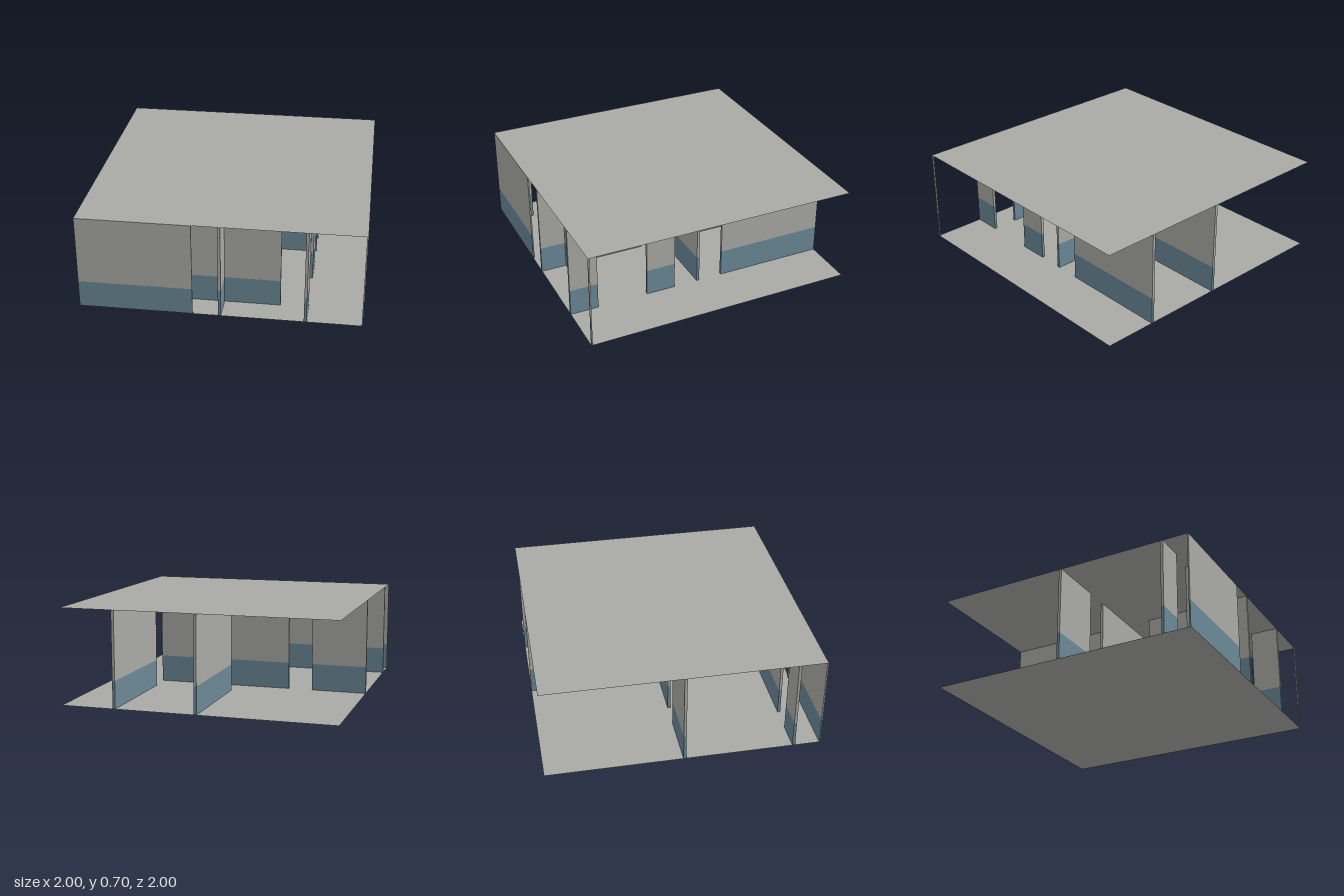
import * as THREE from 'three';

const paleGrey = new THREE.MeshStandardMaterial({ color: 0xa9aaa5, side: THREE.DoubleSide });
paleGrey.name = 'paleGrey';
const slateBlue = new THREE.MeshStandardMaterial({ color: 0x6a8896 });
slateBlue.name = 'slateBlue';

const HEIGHT = 0.7;
const DADO = 0.2; // top of the blue band
const GAP = 0.001; // keeps wall ends off the floor and ceiling sheets

// One wall seen in plan: blue band below, grey above
function wall(name, x0, x1, z0, z1) {
  const group = new THREE.Group();
  group.name = name;
  const band = (part, y0, y1, material) => {
    const mesh = new THREE.Mesh(new THREE.BoxGeometry(x1 - x0, y1 - y0, z1 - z0), material);
    mesh.position.set((x0 + x1) / 2, (y0 + y1) / 2, (z0 + z1) / 2);
    mesh.name = part;
    group.add(mesh);
  };
  band('lowerBand', GAP, DADO, slateBlue);
  band('upperBand', DADO, HEIGHT - GAP, paleGrey);
  return group;
}

// Thin horizontal sheet
function slab(name, y) {
  const mesh = new THREE.Mesh(new THREE.PlaneGeometry(2, 2), paleGrey);
  mesh.rotation.x = -Math.PI / 2;
  mesh.position.y = y;
  mesh.name = name;
  return mesh;
}

export function createModel() {
  const model = new THREE.Group();
  model.name = 'officeFloor';
  const T = 0.01; // half wall thickness

  model.add(slab('floor', 0), slab('ceiling', HEIGHT));

  // Outer front wall and the corner post
  model.add(wall('frontWall', -1, -0.19, 0.99, 1));
  model.add(wall('cornerPost', 0.99, 1, 0.99, 1));

  // Walls running left to right: z, start x, end x
  for (const [z, a, b] of [
    [0, -1, -0.59], [0, -0.41, 0.61],
    [0.8, -1, -0.79], [0.8, -0.61, 0.41],
  ]) model.add(wall('crossWall', a, b, z - T, z + T));

  // Walls running front to back: x, start z, end z
  for (const [x, a, b] of [
    [0, -1, -0.19], [0, 0.19, 1],
    [0.6, -1, -0.19], [0.6, 0.19, 0.41], [0.6, 0.79, 1],
  ]) model.add(wall('partitionWall', x - T, x + T, a, b));

  return model;
}
